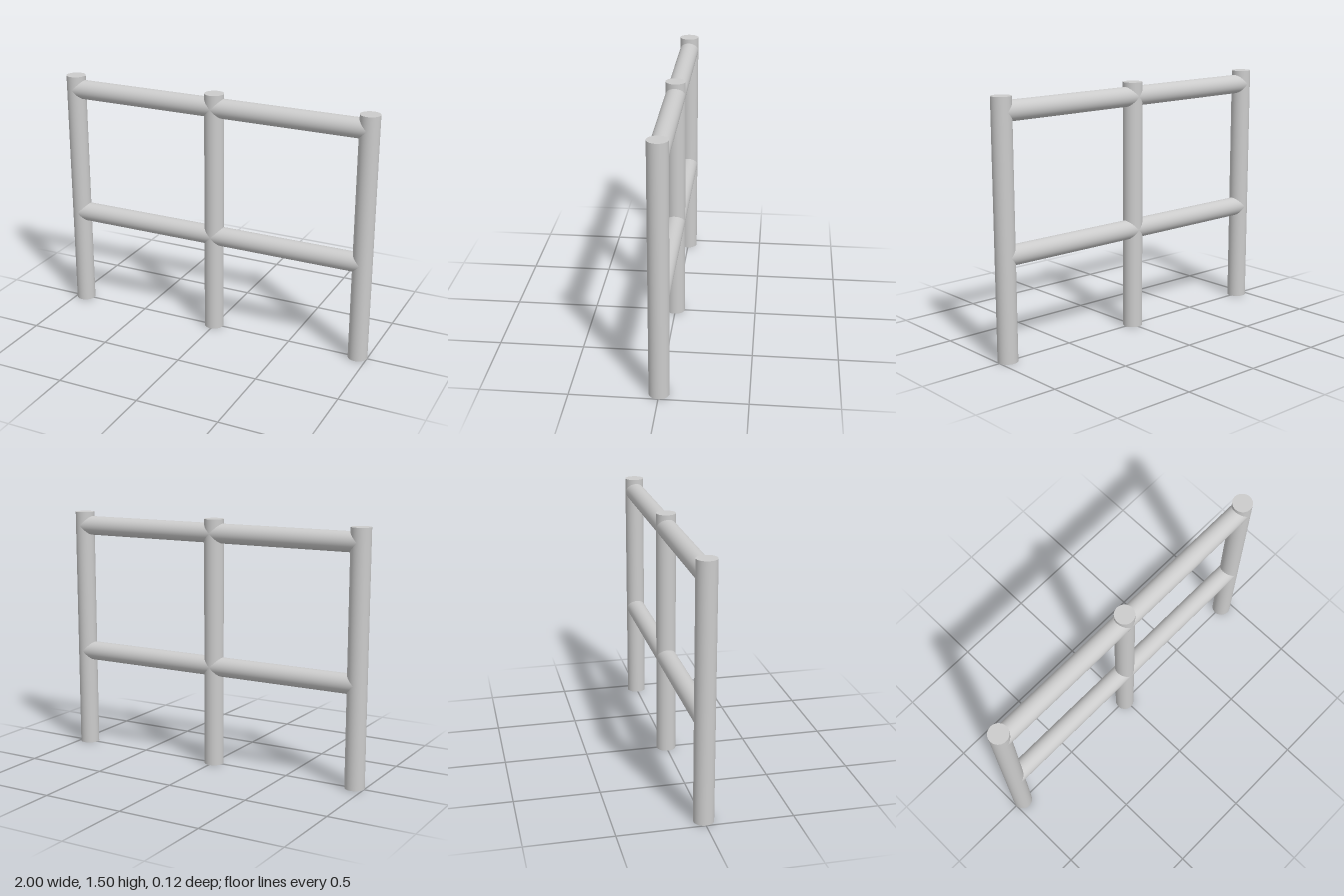
import * as THREE from 'three';

const R = 0.0585;      // shared tube radius
const HEIGHT = 1.5;
const SIDE_X = 0.9415; // axis of the outer posts
const MID_X = -0.004;

export function createModel() {
  const group = new THREE.Group();
  const material = new THREE.MeshStandardMaterial({ color: 0xcccccc });

  const addTube = (name, length, x, y, horizontal = false) => {
    const mesh = new THREE.Mesh(new THREE.CylinderGeometry(R, R, length, 48), material);
    mesh.name = name;
    mesh.position.set(x, y, 0);
    if (horizontal) mesh.rotation.z = Math.PI / 2;
    group.add(mesh);
  };

  // Upright posts
  addTube('rightPost', HEIGHT, -SIDE_X, HEIGHT / 2);
  addTube('middlePost', HEIGHT, MID_X, HEIGHT / 2);
  addTube('leftPost', HEIGHT, SIDE_X, HEIGHT / 2);

  // Rails run between the axes of neighbouring posts
  for (const [level, y] of [['lower', 0.61], ['upper', 1.415]]) {
    for (const [side, x] of [['Right', -SIDE_X], ['Left', SIDE_X]]) {
      addTube(`${level}${side}Rail`, Math.abs(x - MID_X), (x + MID_X) / 2, y, true);
    }
  }
  return group;
}
